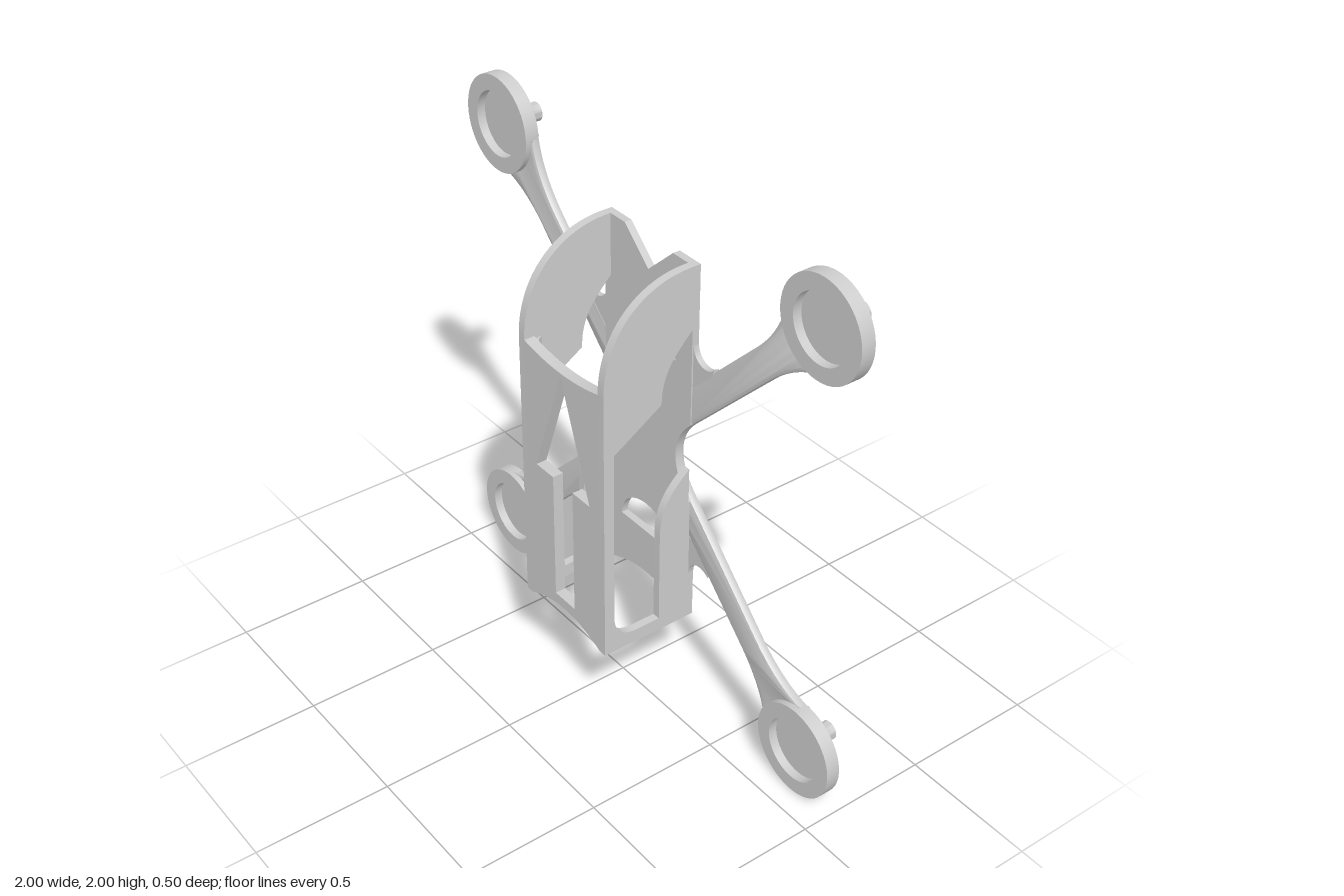
import * as THREE from 'three';
import { toCreasedNormals } from 'three/addons/utils/BufferGeometryUtils.js';

const material = new THREE.MeshStandardMaterial({ color: 0xcccccc });

function addMesh(parent, name, geometry) {
  const mesh = new THREE.Mesh(toCreasedNormals(geometry, 0.6), material);
  mesh.name = name;
  parent.add(mesh);
  return mesh;
}

// Plate in the xy plane between two z values
function slab(shape, z0, z1) {
  return new THREE.ExtrudeGeometry(shape, { depth: z1 - z0, bevelEnabled: false, curveSegments: 20 })
    .translate(0, 0, z0);
}

function polygon(points, Type = THREE.Shape) {
  return new Type(points.map(([x, y]) => new THREE.Vector2(x, y)));
}

// Front plate with arched ends and an arrow cut-out
function frontPlate() {
  const s = new THREE.Shape();
  s.moveTo(-0.23, 0.35);
  s.lineTo(-0.2, 0.35);
  s.quadraticCurveTo(0, 0.45, 0.2, 0.35);
  s.lineTo(0.23, 0.35);
  s.lineTo(0.23, 1.4);
  s.lineTo(0.2, 1.4);
  s.quadraticCurveTo(0, 1.35, -0.2, 1.4);
  s.lineTo(-0.23, 1.4);
  s.closePath();
  s.holes.push(polygon([[0, 1.36], [-0.15, 0.935], [-0.055, 0.935], [-0.055, 0.44],
    [0.055, 0.44], [0.055, 0.935], [0.15, 0.935]], THREE.Path));
  return slab(s, 0.21, 0.25);
}

// Back plate with notched top, open waist, triangle and dome cut-outs
function backPlate() {
  const s = new THREE.Shape();
  s.moveTo(-0.23, 0.35);
  s.lineTo(-0.2, 0.35);
  s.quadraticCurveTo(0, 0.45, 0.2, 0.35);
  s.lineTo(0.23, 0.35);
  s.lineTo(0.23, 0.845);
  s.quadraticCurveTo(0.08, 1, 0.23, 1.155);
  s.lineTo(0.23, 1.75);
  s.lineTo(0.125, 1.75);
  s.lineTo(0, 1.635);
  s.lineTo(-0.125, 1.75);
  s.lineTo(-0.23, 1.75);
  s.lineTo(-0.23, 1.155);
  s.quadraticCurveTo(-0.08, 1, -0.23, 0.845);
  s.closePath();
  s.holes.push(polygon([[0, 1.51], [-0.15, 1.365], [0.15, 1.365]], THREE.Path));
  const dome = new THREE.Path();
  dome.moveTo(0.14, 0.58);
  dome.absellipse(0, 0.58, 0.14, 0.12, 0, Math.PI, false);
  dome.closePath();
  s.holes.push(dome);
  return slab(s, -0.127, -0.1);
}

// Side wall profile drawn as (z, y), then turned to face sideways
function sideWall(x) {
  const s = new THREE.Shape();
  s.moveTo(-0.1, 0.35);
  s.lineTo(0.25, 0.35);
  s.lineTo(0.25, 1.4);
  s.bezierCurveTo(0.25, 1.6, 0.12, 1.75, -0.085, 1.75);
  s.lineTo(-0.1, 1.75);
  s.lineTo(-0.1, 1.52);
  s.bezierCurveTo(-0.03, 1.45, 0.02, 1.4, 0.02, 1.285);
  s.lineTo(0.21, 1.165);
  s.lineTo(0.21, 0.5);
  s.quadraticCurveTo(0.21, 0.4, 0.11, 0.4);
  s.lineTo(0.02, 0.4);
  s.lineTo(0.02, 0.75);
  s.bezierCurveTo(0.02, 0.87, -0.03, 0.92, -0.1, 0.98);
  s.closePath();
  return slab(s, 0, 0.03).rotateY(-Math.PI / 2).translate(x + 0.015, 0, 0);
}

// Cross of four arms with curved crotches and flared tips
function armCross() {
  const at = (k, u, v) => {
    const a = Math.PI / 4 + k * Math.PI / 2;
    return [u * Math.cos(a) - v * Math.sin(a), 1 + u * Math.sin(a) + v * Math.cos(a)];
  };
  const s = new THREE.Shape();
  const w = 0.055;
  s.moveTo(...at(0, 0.27, -w));
  for (let k = 0; k < 4; k++) {
    s.lineTo(...at(k, 0.79, -w));
    s.quadraticCurveTo(...at(k, 0.95, -w), ...at(k, 1.06, -0.135));
    s.quadraticCurveTo(...at(k, 0.95, 0), ...at(k, 1.06, 0.135));
    s.quadraticCurveTo(...at(k, 0.95, w), ...at(k, 0.79, w));
    s.lineTo(...at(k, 0.27, w));
    s.quadraticCurveTo(...at(k, w, w), ...at(k + 1, 0.27, -w));
  }
  return new THREE.ExtrudeGeometry(s, {
    depth: 0.015, bevelThickness: 0.01, bevelSize: 0.01, bevelOffset: -0.01,
    bevelSegments: 2, curveSegments: 16,
  }).translate(0, 0, -0.13);
}

// Rounded web joining an arm to the body side
function webShape(sx, sy) {
  const pts = [[0.2, 0.28], [0.2, 0.46]];
  for (let i = 0; i <= 14; i++) {
    const a = Math.PI + (i / 14) * Math.PI * 0.75;
    pts.push([0.29 + 0.06 * Math.cos(a), 0.46 + 0.06 * Math.sin(a)]);
  }
  pts.push([0.332, 0.38]);
  return polygon(pts.map(([x, y]) => [x * sx, 1 + y * sy]));
}

// Round pad: open recess at the front, flared stem at the back
function motorPad() {
  const profile = [[0, 0.115], [0.118, 0.115], [0.118, 0.083], [0.175, 0.083], [0.175, 0.135],
    [0.15, 0.141], [0.12, 0.147], [0.09, 0.157], [0.065, 0.17], [0.048, 0.187], [0.037, 0.21],
    [0.033, 0.23], [0.034, 0.25], [0, 0.25]];
  return new THREE.LatheGeometry(profile.map(([r, d]) => new THREE.Vector2(r, d)), 48)
    .rotateX(-Math.PI / 2);
}

export function createModel() {
  const model = new THREE.Group();
  model.name = 'quadFrame';
  const body = new THREE.Group();
  body.name = 'body';
  model.add(body);
  addMesh(body, 'frontPlate', frontPlate());
  addMesh(body, 'backPlate', backPlate());
  addMesh(model, 'armCross', armCross());

  for (const sx of [1, -1]) {
    const side = sx > 0 ? 'left' : 'right';
    addMesh(body, side + 'Wall', sideWall(sx * 0.215));
    // Inner corner fillet behind the front plate
    const fillet = polygon([[sx * 0.2, -0.21], [sx * 0.17, -0.21], [sx * 0.19, -0.2], [sx * 0.2, -0.18]]);
    addMesh(body, side + 'CornerFillet',
      slab(fillet, 1.175, 1.39).rotateX(-Math.PI / 2));
    for (const sy of [1, -1]) {
      const corner = (sy > 0 ? 'upper' : 'lower') + (sx > 0 ? 'Left' : 'Right');
      addMesh(model, corner + 'Web', slab(webShape(sx, sy), -0.128, -0.106));
      addMesh(model, corner + 'MotorPad', motorPad())
        .position.set(sx * 0.825, 1 + sy * 0.825, 0);
    }
  }
  return model;
}
